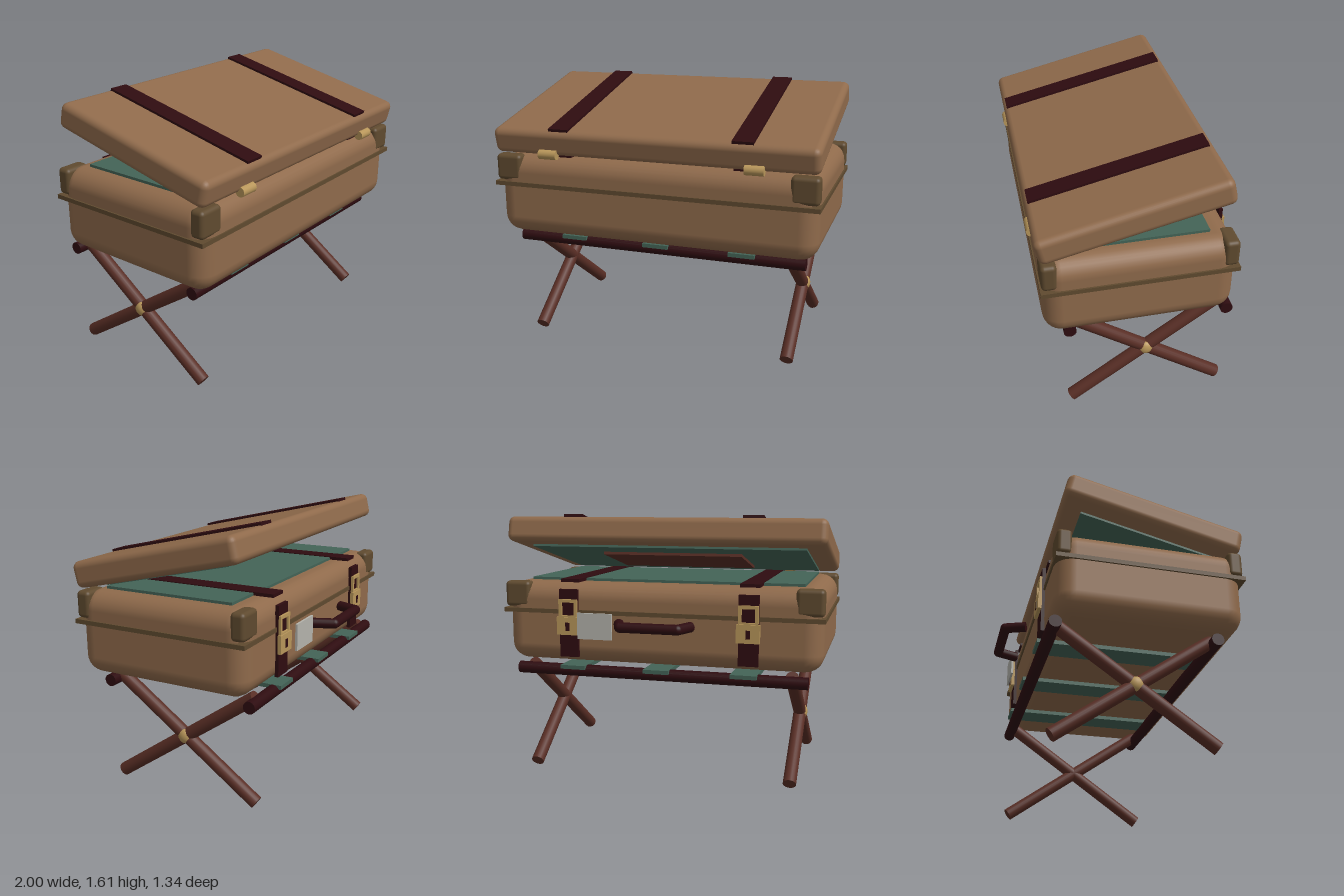
import * as THREE from 'three';
import { RoundedBoxGeometry } from 'three/addons/geometries/RoundedBoxGeometry.js';

const mat = (name, color) => {
  const m = new THREE.MeshStandardMaterial({ color });
  m.name = name;
  return m;
};

export function createModel() {
  const leather = mat('tan leather', 0x8f6a4b);
  const trim = mat('olive brown trim', 0x5f4a2f);
  const strapMat = mat('dark maroon leather', 0x2e0c10);
  const wood = mat('red brown wood', 0x592e25);
  const cloth = mat('green cloth', 0x446457);
  const brass = mat('brass', 0xb8965a);
  const paper = mat('pale tag', 0xb4b3ac);

  const model = new THREE.Group();
  model.name = 'suitcaseOnStand';

  const add = (parent, name, geometry, material, x = 0, y = 0, z = 0) => {
    const m = new THREE.Mesh(geometry, material);
    m.name = name;
    m.position.set(x, y, z);
    parent.add(m);
    return m;
  };
  const box = (w, h, d) => new THREE.BoxGeometry(w, h, d);
  const group = (name) => {
    const g = new THREE.Group();
    g.name = name;
    model.add(g);
    return g;
  };
  // Round bar between two points
  const bar = (parent, name, a, b, radius, material, sides = 20) => {
    const from = new THREE.Vector3(...a), to = new THREE.Vector3(...b);
    const dir = to.clone().sub(from);
    const m = add(parent, name, new THREE.CylinderGeometry(radius, radius, dir.length(), sides), material);
    m.position.copy(from).add(to).multiplyScalar(0.5);
    m.quaternion.setFromUnitVectors(new THREE.Vector3(0, 1, 0), dir.normalize());
    return m;
  };

  // Folding stand: crossed legs, rails, webbing
  const stand = group('stand');
  const midZ = 0.015;
  for (const s of [-1, 1]) {
    const x = 0.815 * s;
    for (const d of [-1, 1]) {
      bar(stand, 'crossLeg', [x, 0.034, midZ + 0.462 * d], [x, 0.68, midZ - 0.457 * d], 0.04, wood);
    }
    add(stand, 'pivotBolt', new THREE.SphereGeometry(0.044, 20, 14), brass, 0.835 * s, 0.36, midZ).scale.x = 0.65;
    const z = midZ + 0.465 * s;
    bar(stand, 'rail', [-0.91, 0.652, z], [0.91, 0.652, z], 0.037, strapMat);
  }
  for (const x of [-0.535, 0, 0.535]) add(stand, 'webbing', box(0.16, 0.024, 1.03), cloth, x, 0.677, midZ);

  // Suitcase body
  const body = group('body');
  const cz = 0.083;
  add(body, 'shell', new RoundedBoxGeometry(1.98, 0.5, 1.095, 3, 0.11), leather, 0, 0.95, cz);
  add(body, 'rimBand', box(2, 0.026, 1.112), trim, 0, 1.02, cz);
  for (const sx of [-1, 1]) for (const sz of [-1, 1]) {
    add(body, 'cornerCap', new RoundedBoxGeometry(0.165, 0.16, 0.088, 3, 0.025), trim,
      0.91 * sx, 1.12, cz + 0.505 * sz);
  }
  add(body, 'liningPanel', box(1.73, 0.024, 0.83), cloth, 0, 1.204, 0.09);

  // Straps with clasps on the opening side
  for (const s of [-1, 1]) {
    const x = 0.56 * s;
    add(body, 'topStrap', box(0.12, 0.02, 1.05), strapMat, x, 1.211, 0.075);
    add(body, 'backStrap', box(0.12, 0.42, 0.022), strapMat, x, 0.95, -0.473);

    const frame = new THREE.Shape([[-0.06, -0.06], [0.06, -0.06], [0.06, 0.06], [-0.06, 0.06]]
      .map((p) => new THREE.Vector2(...p)));
    frame.holes.push(new THREE.Path([[-0.04, -0.04], [-0.04, 0.04], [0.04, 0.04], [0.04, -0.04]]
      .map((p) => new THREE.Vector2(...p))));
    add(body, 'buckleFrame', new THREE.ExtrudeGeometry(frame, { depth: 0.016, bevelEnabled: false }),
      brass, x, 1.04, -0.498);
    add(body, 'lockPlate', box(0.14, 0.11, 0.022), brass, x, 0.935, -0.494);
    add(body, 'keyhole', box(0.026, 0.05, 0.004), strapMat, x, 0.932, -0.506);

    // Hinge barrels
    bar(body, 'hinge', [0.63 * s - 0.056, 1.22, 0.637], [0.63 * s + 0.056, 1.22, 0.637], 0.029, brass);
  }

  // Carrying handle
  const handle = group('handle');
  const path = [[-0.222, 0.965, -0.515], [-0.175, 0.965, -0.638], [0.175, 0.965, -0.638], [0.222, 0.965, -0.515]];
  for (let i = 0; i < 3; i++) bar(handle, 'handleBar', path[i], path[i + 1], 0.031, strapMat, 16);
  for (const i of [1, 2]) add(handle, 'handleBend', new THREE.SphereGeometry(0.031, 16, 12), strapMat, ...path[i]);

  // Luggage tag
  add(model, 'tag', box(0.22, 0.16, 0.014), paper, 0.373, 0.945, -0.53);

  // Raised lid
  const lid = group('lid');
  lid.position.set(0, 1.405, 0.115);
  lid.rotation.x = THREE.MathUtils.degToRad(13.1);
  add(lid, 'lidShell', new RoundedBoxGeometry(1.985, 0.157, 1.09, 3, 0.04), leather);
  for (const s of [-1, 1]) add(lid, 'lidStrap', box(0.125, 0.018, 1.04), strapMat, 0.56 * s, 0.083, 0);
  add(lid, 'lidLining', box(1.73, 0.018, 0.83), cloth, 0, -0.083, 0);
  add(lid, 'lidPocket', box(0.9, 0.018, 0.48), wood, 0, -0.1, 0);

  return model;
}
